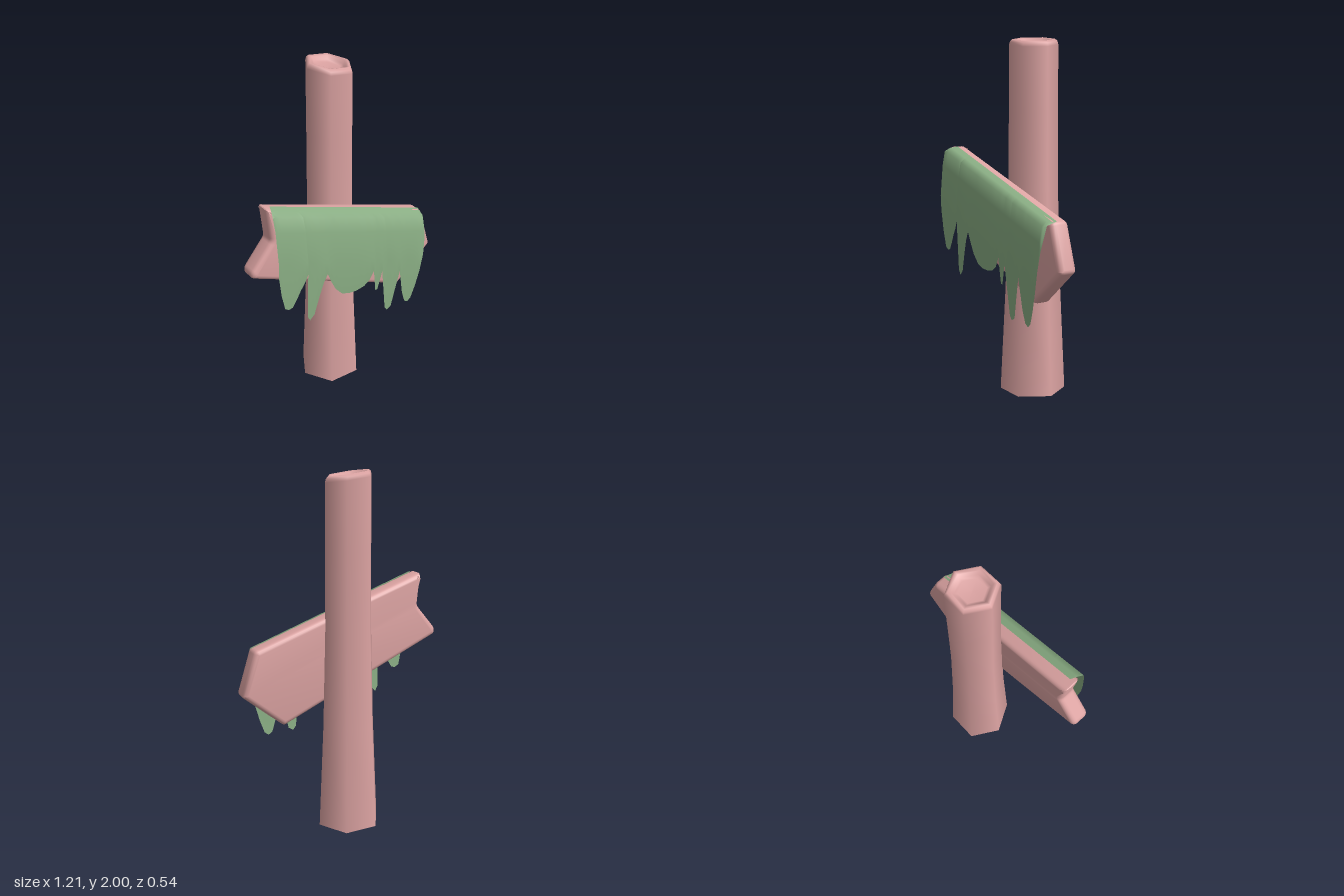
import * as THREE from 'three';
import { toCreasedNormals } from 'three/addons/utils/BufferGeometryUtils.js';

const SLOPE = 0.16; // the board swings forward towards +x
const PLANE_Z = 0.07;

// Closed shape with softened corners
function roundedShape(points, r) {
  const pts = points.map(([x, y]) => new THREE.Vector2(x, y));
  const shape = new THREE.Shape();
  pts.forEach((p, i) => {
    const prev = pts[(i + pts.length - 1) % pts.length];
    const next = pts[(i + 1) % pts.length];
    const a = p.clone().add(prev.clone().sub(p).setLength(r));
    const b = p.clone().add(next.clone().sub(p).setLength(r));
    if (i === 0) shape.moveTo(a.x, a.y);
    else shape.lineTo(a.x, a.y);
    shape.quadraticCurveTo(p.x, p.y, b.x, b.y);
  });
  shape.closePath();
  return shape;
}

// Six-sided tapering post with a hollowed, slightly slanted top
function makePost(material) {
  const group = new THREE.Group();
  group.name = 'post';
  const profile = [
    [0.185, 0], [0.156, 0.6], [0.14, 1.15], [0.137, 1.6], [0.136, 1.955], [0.131, 1.973],
    [0.118, 1.985], [0.1, 1.98], [0.088, 1.962], [0.07, 1.952], [0, 1.95],
  ].map(([r, y]) => new THREE.Vector2(r, y));
  const geo = new THREE.LatheGeometry(profile, 6, THREE.MathUtils.degToRad(20.5));
  const pos = geo.attributes.position;
  for (let i = 0; i < pos.count; i++) {
    if (pos.getY(i) > 1.9) pos.setY(i, pos.getY(i) - 0.1 * (pos.getX(i) + pos.getZ(i)));
  }
  const shaft = new THREE.Mesh(geo, material);
  shaft.name = 'postShaft';
  const base = new THREE.Mesh(
    new THREE.CircleGeometry(0.185, 6, THREE.MathUtils.degToRad(9.5)).rotateX(Math.PI / 2), material);
  base.name = 'postBase';
  group.add(shaft, base);
  group.position.set(0.063, 0, -0.1);
  return group;
}

// Thick pointed board with a notched tail
function makeBoard(material) {
  const outline = [
    [-0.61, 1.0], [0.37, 0.59], [0.61, 0.795], [0.53, 1.045], [-0.505, 1.378], [-0.485, 1.185], [-0.61, 1.035],
  ];
  const bevel = 0.028;
  const geo = new THREE.ExtrudeGeometry(roundedShape(outline, 0.016), {
    depth: 0.11 - 2 * bevel, curveSegments: 3,
    bevelEnabled: true, bevelSize: bevel, bevelOffset: -bevel, bevelThickness: bevel, bevelSegments: 4,
  });
  geo.translate(0, 0, bevel - 0.055);
  const board = new THREE.Mesh(toCreasedNormals(geo, 0.75), material);
  board.name = 'signBoard';
  board.rotation.y = -Math.atan(SLOPE);
  board.position.z = PLANE_Z;
  return board;
}

// Moss sheet draped over the top edge, with a ragged dripping hem
function makeMoss(material) {
  const hem = [
    [-0.506, 1.0], [-0.49, 0.88], [-0.468, 0.785], [-0.445, 0.77], [-0.42, 0.775], [-0.395, 0.82],
    [-0.37, 0.87], [-0.345, 0.91], [-0.326, 0.955], [-0.324, 0.67], [-0.308, 0.64], [-0.28, 0.67],
    [-0.25, 0.78], [-0.225, 0.86], [-0.2, 0.91], [-0.175, 0.85], [-0.145, 0.79], [-0.1, 0.74],
    [-0.05, 0.722], [0, 0.72], [0.05, 0.73], [0.085, 0.755], [0.115, 0.81], [0.133, 0.67],
    [0.148, 0.67], [0.175, 0.785], [0.2, 0.6], [0.212, 0.51], [0.23, 0.488], [0.257, 0.505],
    [0.28, 0.62], [0.305, 0.735], [0.335, 0.57], [0.358, 0.5], [0.382, 0.485], [0.405, 0.505],
    [0.43, 0.58], [0.455, 0.68], [0.475, 0.79], [0.49, 0.9], [0.5, 1.03], [0.517, 1.048],
  ];
  // Drop below the top edge -> distance in front of the board's mid-plane
  const drape = [[0, 0.017], [0.012, 0.055], [0.035, 0.09], [0.12, 0.108], [0.3, 0.125], [0.7, 0.108]];
  const offset = (d) => {
    const k = Math.max(1, drape.findIndex(([t]) => t >= d));
    const [d0, o0] = drape[k - 1];
    const [d1, o1] = drape[k];
    return THREE.MathUtils.mapLinear(d, d0, d1, o0, o1);
  };
  const rows = drape.length;
  const positions = [];
  const index = [];
  hem.forEach(([x, y], c) => {
    const line = 1.38 - 0.332 * (x + 0.48);
    const start = Math.max(0, -(x + 0.48) * 1.5); // clipped upper corner
    const end = Math.max(0, line - y);
    drape.forEach(([t], r) => {
      const d = r === rows - 1 ? end : Math.min(Math.max(t, start), end);
      positions.push(x, line - d, PLANE_Z + SLOPE * x + offset(d));
      if (c > 0 && r > 0) {
        const b = c * rows + r;
        const a = b - rows;
        index.push(a - 1, a, b, a - 1, b, b - 1);
      }
    });
  });
  const geo = new THREE.BufferGeometry();
  geo.setAttribute('position', new THREE.Float32BufferAttribute(positions, 3));
  geo.setIndex(index);
  geo.computeVertexNormals();
  const moss = new THREE.Mesh(geo, material);
  moss.name = 'hangingMoss';
  return moss;
}

export function createModel() {
  const wood = new THREE.MeshStandardMaterial({ color: 0xdda4a3 });
  wood.name = 'pinkWood';
  const green = new THREE.MeshStandardMaterial({ color: 0x8aae84 });
  green.name = 'mossGreen';
  green.side = THREE.DoubleSide;

  const model = new THREE.Group();
  model.name = 'signpost';
  model.add(makePost(wood), makeBoard(wood), makeMoss(green));
  return model;
}
